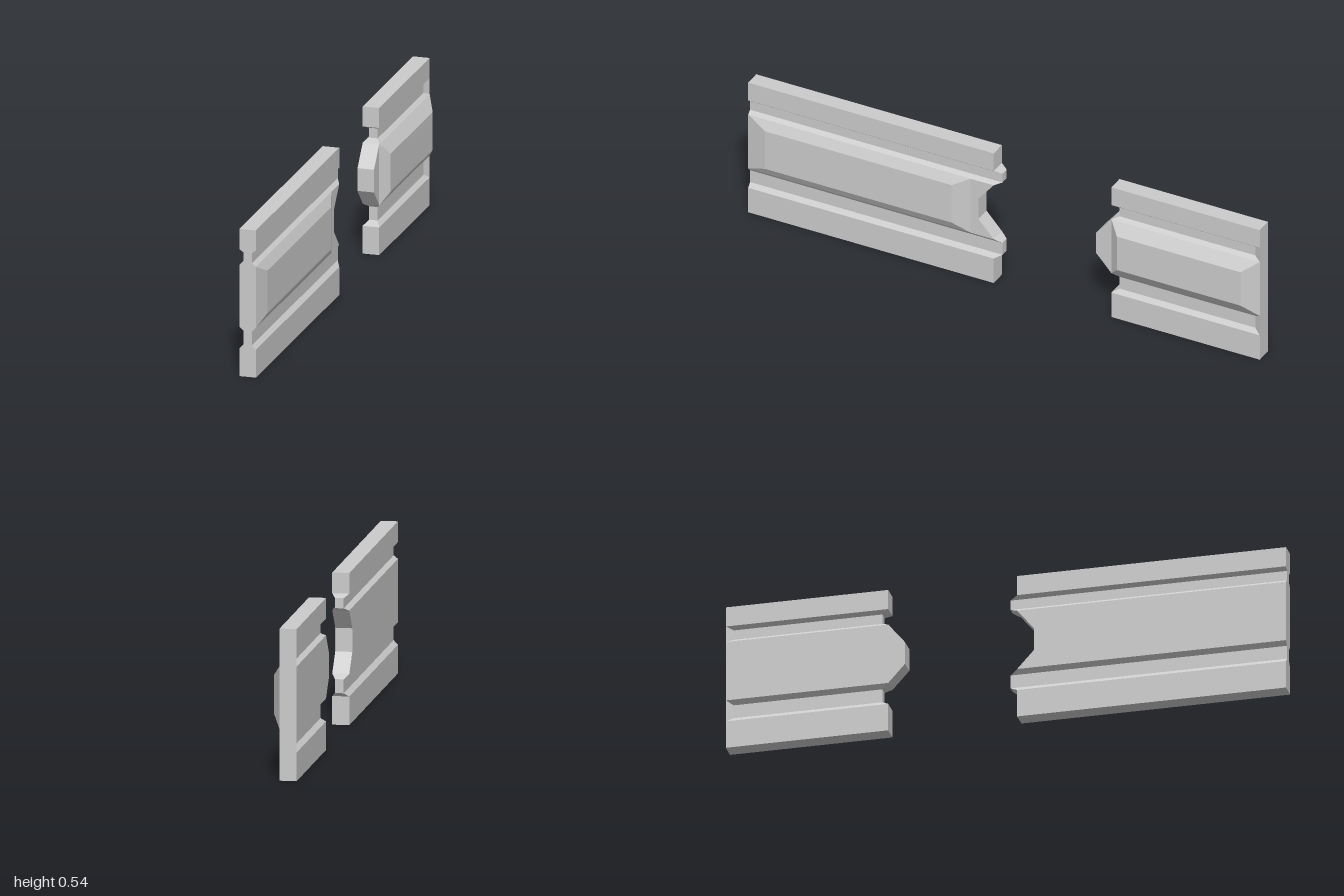
import * as THREE from 'three';

const material = new THREE.MeshStandardMaterial({ color: 0xcccccc, flatShading: true });

// Board faces and groove floors (x), board height
const BACK = -0.046, FACE = 0.014, GROOVE_BACK = -0.031, GROOVE_FACE = 0;
const HEIGHT = 0.536;

// Skins a stack of equal-length rings, counterclockwise seen from the stacking direction
function loft(name, rings, capStart = true) {
  const pos = [];
  const tri = (a, b, c) => pos.push(...a, ...b, ...c);
  const n = rings[0].length;
  for (let r = 0; r < rings.length - 1; r++) {
    const a = rings[r], b = rings[r + 1];
    for (let i = 0; i < n; i++) {
      const j = (i + 1) % n;
      tri(a[i], a[j], b[j]);
      tri(a[i], b[j], b[i]);
    }
  }
  const first = rings[0], last = rings[rings.length - 1];
  for (let i = 1; i < n - 1; i++) {
    if (capStart) tri(first[0], first[i + 1], first[i]);
    tri(last[0], last[i], last[i + 1]);
  }
  const geometry = new THREE.BufferGeometry();
  geometry.setAttribute('position', new THREE.Float32BufferAttribute(pos, 3));
  geometry.computeVertexNormals();
  const mesh = new THREE.Mesh(geometry, material);
  mesh.name = name;
  return mesh;
}

// Levels up the board: rails, two grooves and the centre, with the z of the joint edge.
// joint = [rail end, groove end, centre end]
function levels([rail, groove, centre]) {
  return [
    [0, rail], [0.101, rail],
    [0.117, groove, true], [0.166, groove, true],
    [0.181, rail], [0.247, centre], [0.33, centre], [0.404, rail],
    [0.416, groove, true], [0.452, groove, true],
    [0.463, rail], [HEIGHT, rail],
  ];
}

// Bevelled raised panel on the +x face
function raisedPanel(x, base, top) {
  const ring = (px, [y0, y1, z0, z1]) => [[px, y0, z1], [px, y0, z0], [px, y1, z0], [px, y1, z1]];
  return loft('raisedPanel', [ring(FACE, base), ring(x, top)], false);
}

export function createModel() {
  const model = new THREE.Group();
  model.name = 'splitPanel';

  // Front section: notched centre, groove tongues, open grooves at z = 1
  const front = new THREE.Group();
  front.name = 'frontSection';
  front.add(loft('frontBoard', levels([0.04, 0.013, 0.1]).map(([y, z, groove]) => {
    const x0 = groove ? GROOVE_BACK : BACK, x1 = groove ? GROOVE_FACE : FACE;
    return [[x1, y, 1], [x1, y, z], [x0, y, z], [x0, y, 1]];
  })));
  front.add(raisedPanel(0.032, [0.181, 0.404, 0.13, 1], [0.213, 0.368, 0.195, 0.925]));

  // Rear section: projecting centre, groove sockets, grooves ramped shut at z = -1
  const rear = new THREE.Group();
  rear.name = 'rearSection';
  rear.add(loft('rearBoard', levels([-0.42, -0.445, -0.36]).map(([y, z, groove]) => {
    const x0 = groove ? GROOVE_BACK : BACK, x1 = groove ? GROOVE_FACE : FACE;
    const end = groove ? -0.975 : -1;
    return [[x1, y, z], [x1, y, end], [FACE, y, -1], [BACK, y, -1], [x0, y, end], [x0, y, z]];
  })));
  rear.add(raisedPanel(0.044, [0.181, 0.404, -1, -0.42], [0.223, 0.361, -0.94, -0.457]));

  model.add(front, rear);
  return model;
}
